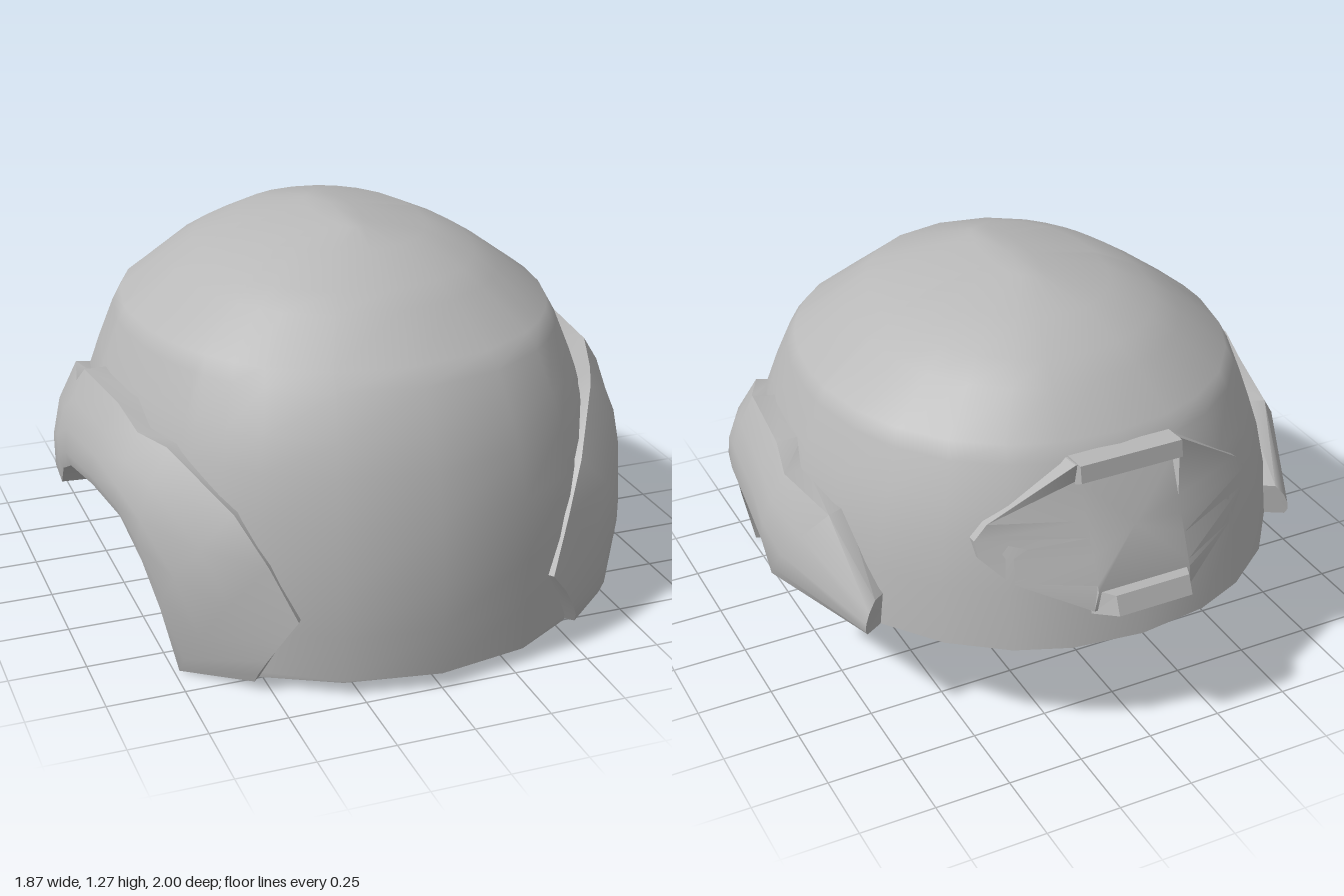
import * as THREE from 'three';
import { mergeVertices, toCreasedNormals } from 'three/addons/utils/BufferGeometryUtils.js';

const V = (x, y, z) => new THREE.Vector3(x, y, z);
const lerp = THREE.MathUtils.lerp;

// dome sections: height, half width, reach to the front, reach to the back
const SECTIONS = [
  [0, 0.82, 0.99, 0.95], [0.05, 0.825, 1, 0.95], [0.2, 0.835, 1, 0.94], [0.36, 0.84, 1, 0.93],
  [0.55, 0.835, 0.97, 0.89], [0.7, 0.805, 0.93, 0.855], [0.8, 0.77, 0.89, 0.82],
  [0.93, 0.72, 0.82, 0.765], [0.98, 0.695, 0.765, 0.725], [1.1, 0.53, 0.61, 0.6],
  [1.15, 0.45, 0.55, 0.52], [1.22, 0.3, 0.37, 0.38], [1.26, 0.07, 0.25, 0.17], [1.27, 0, 0, 0],
];
const ROUND = 0.95;

function section(y) {
  let i = 0;
  while (i < SECTIONS.length - 2 && SECTIONS[i + 1][0] < y) i++;
  const p = SECTIONS[i], q = SECTIONS[i + 1];
  const t = THREE.MathUtils.clamp((y - p[0]) / (q[0] - p[0]), 0, 1);
  return [1, 2, 3].map(k => lerp(p[k], q[k], t));
}

const spow = (v, e) => Math.sign(v) * Math.pow(Math.abs(v), e);

function domePoint(angle, y) {
  const [a, f, b] = section(y), c = Math.cos(angle);
  return V(a * spow(Math.sin(angle), ROUND), y, (c > 0 ? f : b) * spow(c, ROUND));
}

function angleAt(z, y) {
  const [, f, b] = section(y);
  const r = THREE.MathUtils.clamp(z / (z > 0 ? f : b), -1, 1);
  return Math.acos(spow(r, 1 / ROUND));
}

// point on the +x half of the dome, pushed outward
function onDome(z, y, off) {
  const p = domePoint(angleAt(z, y), y), [a, f, b] = section(y);
  const e = z > 0 ? f : b;
  return p.addScaledVector(V(p.x / (a * a), 0, p.z / (e * e)).normalize(), off);
}

// surface through a grid of points, without collapsed triangles
function grid(points, flip = false) {
  const out = [];
  const tri = (a, b, c) => {
    const n = b.clone().sub(a).cross(c.clone().sub(a));
    if (n.length() < 1e-7) return;
    for (const p of flip ? [a, c, b] : [a, b, c]) out.push(p.x, p.y, p.z);
  };
  for (let i = 0; i < points.length - 1; i++) {
    for (let j = 0; j < points[0].length - 1; j++) {
      const a = points[i][j], b = points[i + 1][j], c = points[i + 1][j + 1], d = points[i][j + 1];
      tri(a, b, c);
      tri(a, c, d);
    }
  }
  const g = new THREE.BufferGeometry();
  g.setAttribute('position', new THREE.Float32BufferAttribute(out, 3));
  return g;
}

function smooth(g) {
  const m = mergeVertices(g, 1e-4);
  m.computeVertexNormals();
  return m;
}

// lower edge of the shell from front to back: z, y
const EDGE = [
  [1, 0.05], [0.94, 0.045], [0.8, 0.03], [0.7, 0.015], [0.59, 0], [0.56, 0.22], [0.5, 0.36],
  [0.4, 0.47], [0.24, 0.51], [0.05, 0.49], [-0.06, 0.43], [-0.1, 0.36], [-0.33, 0.36],
  [-0.52, 0.36], [-0.7, 0.36], [-0.83, 0.36], [-0.9, 0.36], [-0.93, 0.36],
];

// ear pad stations: upper z, y; lower z, y; step height at the top; thickness
const PAD = [
  [0.88, 0.25, 0.79, 0.03, 0.01, 0.04], [0.82, 0.42, 0.59, 0, 0.01, 0.08],
  [0.73, 0.57, 0.56, 0.22, 0.02, 0.1], [0.5, 0.72, 0.5, 0.36, 0.04, 0.1],
  [0.38, 0.73, 0.4, 0.47, 0.05, 0.1], [0.27, 0.79, 0.24, 0.51, 0.07, 0.1],
  [-0.02, 0.79, 0.05, 0.49, 0.07, 0.1], [-0.1, 0.72, -0.06, 0.43, 0.06, 0.1],
  [-0.33, 0.69, -0.1, 0.36, 0.05, 0.1], [-0.52, 0.47, -0.52, 0.36, 0.04, 0.08],
];

function padGeometry(side) {
  const ends = [PAD[0], PAD[PAD.length - 1]].map(([uz, uy, lz, ly]) => {
    const z = (uz + lz) / 2, y = (uy + ly) / 2;
    return [z, y, z, y, 0, 0];
  });
  const rows = [ends[0], ...PAD, ends[1]].map(([uz, uy, lz, ly, h, t]) => {
    const sink = t ? -0.02 : 0;
    const profile = [[0, sink], [0, h], [0.3, lerp(h, t, 0.7)], [0.6, t], [0.85, t], [1, t * 0.85], [1, sink]];
    return profile.map(([k, off]) => {
      const p = onDome(lerp(uz, lz, k), lerp(uy, ly, k), off);
      p.x *= side;
      return p;
    });
  });
  return toCreasedNormals(grid(rows, side > 0), 0.7);
}

// folded plate: rim outline on the +x half, top to bottom
function plateGeometry() {
  const half = [
    V(0.18, 0.95, -0.8), V(0.44, 0.77, -0.725), V(0.48, 0.72, -0.72),
    V(0.47, 0.66, -0.73), V(0.39, 0.58, -0.79), V(0.17, 0.49, -0.92),
  ];
  const mirror = p => V(-p.x, p.y, p.z);
  const ring = [...half, ...half.slice().reverse().map(mirror)];
  ring.push(ring[0]);
  const rows = ring.map(p => {
    const s = Math.sign(p.x);
    const fold = V(s * 0.16, THREE.MathUtils.clamp(p.y, 0.56, 0.89), 0);
    fold.z = lerp(-0.925, -0.79, (fold.y - 0.56) / 0.33);
    return [V(0, 0.725, -0.857), fold, p, V(p.x, p.y - 0.01, p.z + 0.08)];
  });
  return toCreasedNormals(grid(rows, true), 0.5);
}

// bar across the plate from a (depth, height) outline
function lipGeometry(outline, width) {
  const shape = new THREE.Shape(outline.map(([d, y]) => new THREE.Vector2(d, y)));
  const g = new THREE.ExtrudeGeometry(shape, { depth: width, bevelEnabled: false });
  g.translate(0, 0, -width / 2);
  g.rotateY(Math.PI / 2);
  // taper the outer face
  const p = g.attributes.position;
  for (let i = 0; i < p.count; i++) if (p.getZ(i) < -0.95) p.setX(i, p.getX(i) * 0.75);
  g.computeVertexNormals();
  return g;
}

export function createModel() {
  const group = new THREE.Group();
  const grey = new THREE.MeshStandardMaterial({ color: 0xb8b8b8 });
  grey.name = 'shellGrey';
  grey.side = THREE.DoubleSide;
  const add = (name, geometry) => {
    const mesh = new THREE.Mesh(geometry, grey);
    mesh.name = name;
    group.add(mesh);
  };

  // shell: outer dome, lining and the cut edge that joins them
  const right = EDGE.map(([z, y]) => [angleAt(z, y), y]);
  const left = right.slice(0, -1).reverse().map(([a, y]) => [2 * Math.PI - a, y]);
  const columns = [...right, ...left];
  const outer = columns.map(([a, low]) => SECTIONS.map(([y]) => domePoint(a, Math.max(y, low))));
  const inset = p => V(p.x * 0.87, p.y - 0.1 * Math.max(0, p.y - 0.33), p.z * 0.87);
  const inner = outer.map(col => col.map(inset));
  add('outerShell', smooth(grid(outer)));
  add('shellLining', smooth(grid(inner, true)));
  const rim = grid(outer.map((col, i) => [inner[i][0], col[0]]));
  add('shellEdge', toCreasedNormals(rim, 0.5));

  // ear pads
  add('leftEarPad', padGeometry(1));
  add('rightEarPad', padGeometry(-1));

  // rear plate with its two lips
  add('rearPlate', plateGeometry());
  add('upperPlateLip', lipGeometry([[0.74, 0.95], [0.82, 0.955], [0.83, 0.9], [0.78, 0.87]], 0.35));
  add('lowerPlateLip', lipGeometry([[0.88, 0.55], [0.975, 0.57], [1, 0.51], [0.9, 0.47]], 0.34));
  return group;
}
